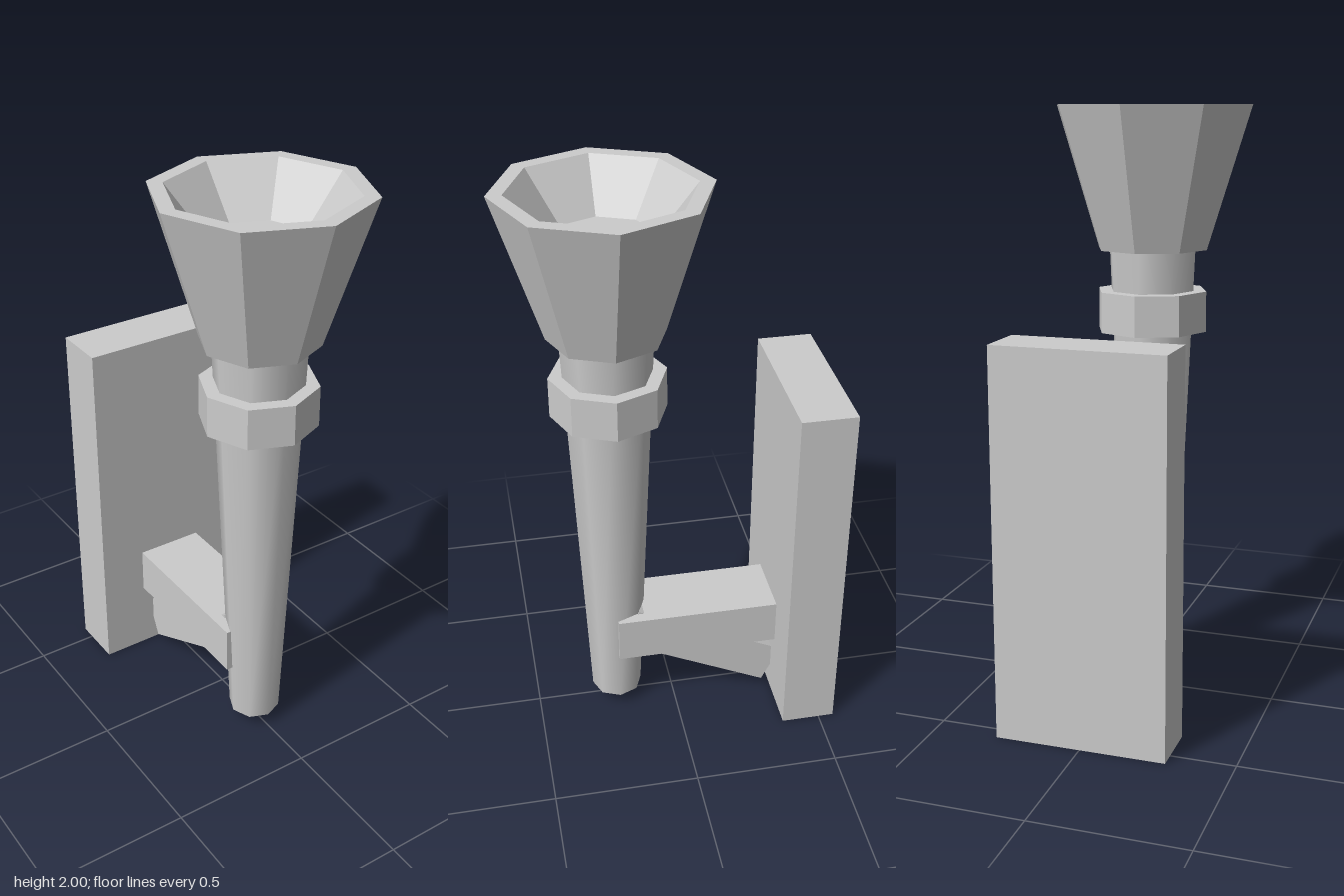
import * as THREE from 'three';

const SIDES = 8;
const TORCH_Z = 0.207;

// Give every face its own normals for a faceted look
function faceted(geometry) {
  const flat = geometry.toNonIndexed();
  flat.computeVertexNormals();
  return flat;
}

export function createModel() {
  const group = new THREE.Group();
  group.name = 'wallTorch';
  const grey = new THREE.MeshStandardMaterial({ color: 0xcccccc });
  grey.name = 'light grey';

  function add(name, geometry, x, y, z) {
    const mesh = new THREE.Mesh(geometry, grey);
    mesh.name = name;
    mesh.position.set(x, y, z);
    group.add(mesh);
    return mesh;
  }

  // Wall plate and horizontal arm
  add('wallPlate', new THREE.BoxGeometry(0.57, 1.29, 0.19), 0, 0.645, -0.46);
  add('supportArm', new THREE.BoxGeometry(0.24, 0.165, 0.6), 0, 0.337, -0.09);

  // Slanted brace beneath the arm
  const brace = add('brace', new THREE.BoxGeometry(0.16, 0.153, 0.59), 0, 0.23, -0.101);
  brace.rotation.x = -0.455;

  // Tapered handle, smooth around its sides
  add('handle', new THREE.CylinderGeometry(0.155, 0.09, 1.47, SIDES), 0, 0.785, TORCH_Z);

  // Octagonal collar
  add('collar', faceted(new THREE.CylinderGeometry(0.195, 0.195, 0.14, SIDES)), 0, 1.303, TORCH_Z);

  // Flared cup with a thick rim and a shallow bowl
  const profile = [
    [0, 1.515], [0.195, 1.515], [0.347, 2], [0.296, 2], [0.169, 1.84], [0, 1.84],
  ].map(([r, y]) => new THREE.Vector2(r, y));
  add('cup', faceted(new THREE.LatheGeometry(profile, SIDES)), 0, 0, TORCH_Z);

  return group;
}
